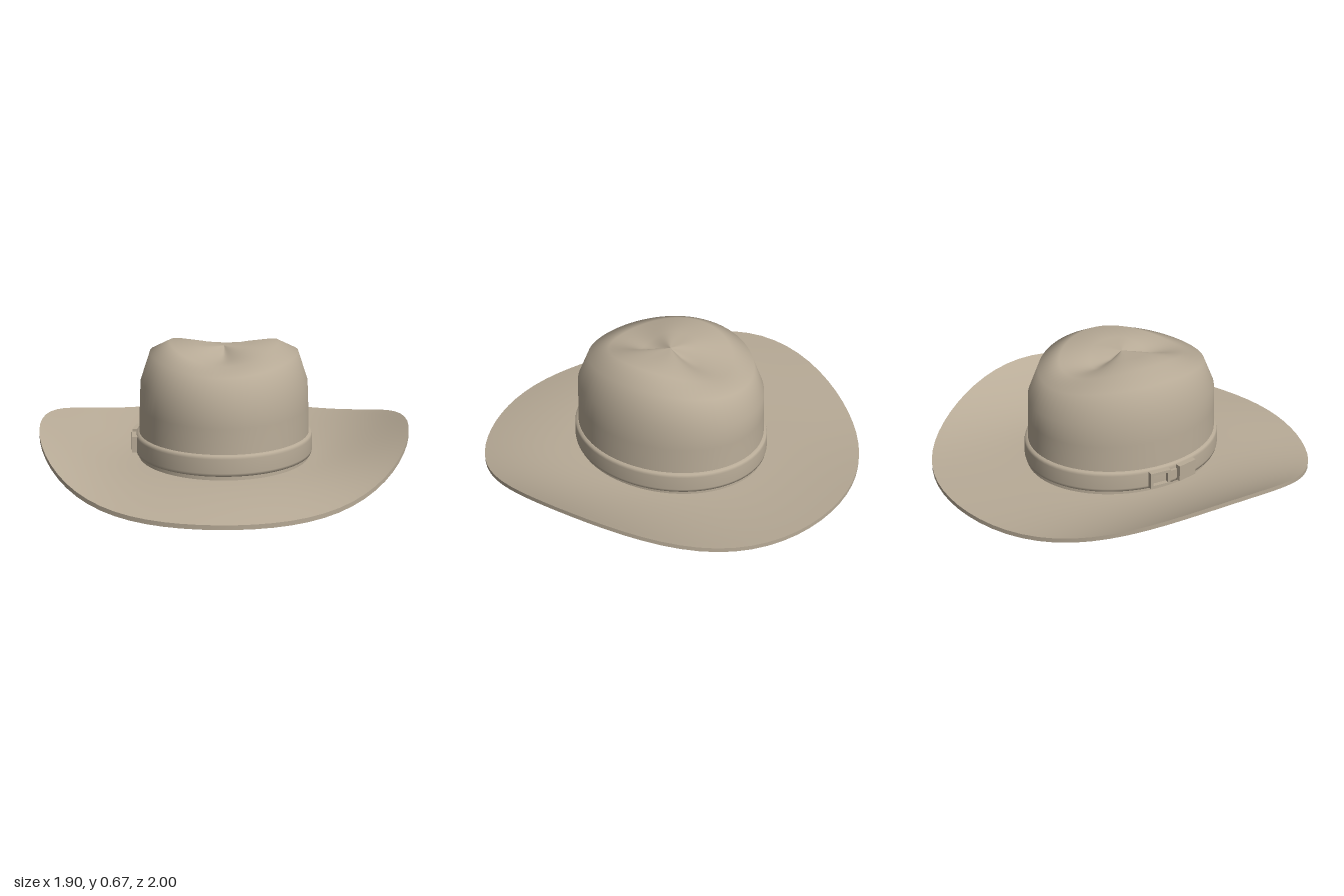
import * as THREE from 'three';

const SEG = 72;

// Skin a stack of closed rings; each ring is a function angle -> [x, y, z], angle 0 at the front
function loft(rings) {
  const pos = [], idx = [];
  for (const ring of rings)
    for (let i = 0; i < SEG; i++) pos.push(...ring((i / SEG) * Math.PI * 2));
  for (let r = 0; r < rings.length - 1; r++)
    for (let i = 0; i < SEG; i++) {
      const j = (i + 1) % SEG, a = r * SEG, b = a + SEG;
      idx.push(a + i, a + j, b + j, a + i, b + j, b + i);
    }
  const g = new THREE.BufferGeometry();
  g.setAttribute('position', new THREE.Float32BufferAttribute(pos, 3));
  g.setIndex(idx);
  g.computeVertexNormals();
  return g;
}

// Elliptical ring whose height runs from ySide at the sides to yEnd at front and back
const ellipse = (rx, rz, ySide, yEnd = ySide, power = 2) => (a) => {
  const w = Math.pow(Math.abs(Math.cos(a)), power);
  return [rx * Math.sin(a), ySide + (yEnd - ySide) * w, rz * Math.cos(a)];
};

// Brim ring at t = 0 (crown) to 1 (outer edge): curled up at the sides, dipping in front
const brimRing = (t, lift) => (a) => {
  const edge = 0.1125 - 0.045 * Math.cos(a) - 0.0925 * Math.cos(2 * a) + 0.025 * Math.cos(4 * a);
  const y = 0.057 + (edge - 0.057) * Math.pow(t, 1.8) + lift;
  return [(0.445 + 0.505 * t) * Math.sin(a), y, (0.515 + 0.485 * t) * Math.cos(a)];
};

export function createModel() {
  const hat = new THREE.Group();
  hat.name = 'hat';
  const felt = new THREE.MeshStandardMaterial({ color: 0xb8ab97, side: THREE.DoubleSide });
  felt.name = 'tan felt';
  const add = (name, geometry, parent = hat) => {
    const mesh = new THREE.Mesh(geometry, felt);
    mesh.name = name;
    parent.add(mesh);
    return mesh;
  };

  // Brim: underside, edge and top kept separate so the rim stays crisp
  const steps = Array.from({ length: 13 }, (_, i) => i / 12);
  const thick = 0.022;
  add('brimUnderside', loft(steps.map((t) => brimRing(t, 0))));
  add('brimEdge', loft([brimRing(1, 0), brimRing(1, thick)]));
  add('brimTop', loft(steps.map((t) => brimRing(1 - t, thick))));

  // Crown: open below, with a crease running front to back over the top
  add('crown', loft([
    ellipse(0.445, 0.515, 0.057),
    ellipse(0.44, 0.505, 0.2),
    ellipse(0.436, 0.5, 0.34, 0.33),
    ellipse(0.43, 0.497, 0.47, 0.435),
    ellipse(0.38, 0.44, 0.62, 0.565),
    ellipse(0.28, 0.33, 0.67, 0.6),
    ellipse(0.14, 0.17, 0.658, 0.59, 4),
    ellipse(0.06, 0.07, 0.65, 0.61, 6),
    ellipse(0, 0, 0.645),
  ]));

  // Hat band with softly turned edges
  add('band', loft([
    ellipse(0.442, 0.508, 0.096),
    ellipse(0.456, 0.522, 0.1),
    ellipse(0.459, 0.525, 0.115),
    ellipse(0.457, 0.523, 0.185),
    ellipse(0.453, 0.519, 0.2),
    ellipse(0.438, 0.504, 0.204),
  ]));

  // Buckle on the side of the band: a square frame, a keeper plate and a prong
  const buckle = new THREE.Group();
  buckle.name = 'buckle';
  hat.add(buckle);
  const place = (mesh, z) => {
    mesh.position.set(-0.462, 0.15, z);
    mesh.rotation.y = -Math.PI / 2 + z * 1.7;
  };
  const frame = new THREE.Shape([[-0.055, -0.042], [0.055, -0.042], [0.055, 0.042], [-0.055, 0.042]]
    .map(([x, y]) => new THREE.Vector2(x, y)));
  frame.holes.push(new THREE.Path([[-0.04, -0.028], [-0.04, 0.028], [0.04, 0.028], [0.04, -0.028]]
    .map(([x, y]) => new THREE.Vector2(x, y))));
  const frameGeo = new THREE.ExtrudeGeometry(frame, { depth: 0.028, bevelEnabled: false });
  frameGeo.translate(0, 0, -0.014);
  place(add('buckleFrame', frameGeo, buckle), -0.08);
  place(add('keeperPlate', new THREE.BoxGeometry(0.11, 0.084, 0.028), buckle), 0.08);
  place(add('prong', new THREE.BoxGeometry(0.04, 0.05, 0.018), buckle), 0);

  return hat;
}
